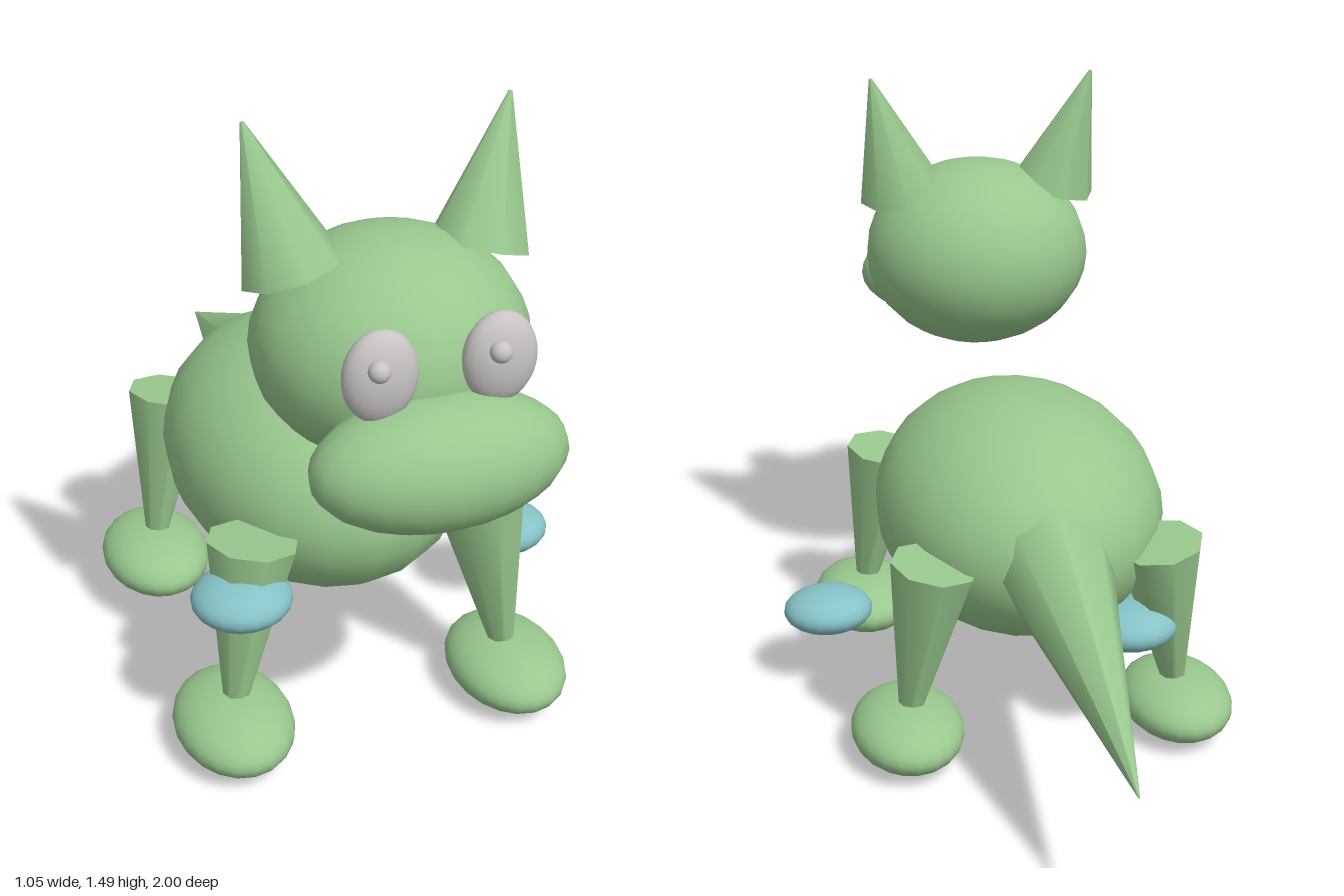
import * as THREE from 'three';

const MID = -0.06; // the animal's plane of symmetry

export function createModel() {
  const model = new THREE.Group();
  model.name = 'animal';

  const material = (name, color) => {
    const m = new THREE.MeshStandardMaterial({ color });
    m.name = name;
    return m;
  };
  const green = material('green skin', 0x99c88e);
  const grey = material('pale grey eye', 0xc8c4c4);
  const blue = material('blue pebble', 0x86c2c6);

  const sphere = new THREE.SphereGeometry(1, 20, 16);

  // Stretched ball: centre and radii
  function ball(name, mat, centre, radii) {
    const mesh = new THREE.Mesh(sphere, mat);
    mesh.name = name;
    mesh.position.set(...centre);
    mesh.scale.set(...radii);
    model.add(mesh);
  }

  // Eight-sided cone running from point a (radius ra) to point b (radius rb)
  function cone(name, mat, a, ra, b, rb) {
    const from = new THREE.Vector3(...a);
    const axis = new THREE.Vector3(...b).sub(from);
    const mesh = new THREE.Mesh(new THREE.CylinderGeometry(rb, ra, axis.length(), 8), mat);
    mesh.name = name;
    mesh.position.copy(from).addScaledVector(axis, 0.5);
    mesh.quaternion.setFromUnitVectors(new THREE.Vector3(0, 1, 0), axis.normalize());
    model.add(mesh);
  }

  // Body, head, muzzle and tail
  ball('body', green, [MID, 0.51, 0.08], [0.35, 0.29, 0.46]);
  ball('head', green, [MID, 1.02, 0.57], [0.29, 0.24, 0.28]);
  ball('muzzle', green, [MID, 0.893, 0.85], [0.267, 0.138, 0.148]);
  cone('tail', green, [MID, 0.52, -0.29], 0.14, [MID, 0.345, -1], 0.002);

  for (const [side, s] of [['left', 1], ['right', -1]]) {
    // Ears
    cone(side + 'Ear', green, [MID + s * 0.2, 1.193, 0.55], 0.108, [MID + s * 0.28, 1.492, 0.493], 0.004);

    // Eyes; both pupils look to the model's right
    ball(side + 'Eye', grey, [MID + s * 0.122, 1.09, 0.837], [0.077, 0.097, 0.043]);
    ball(side + 'Pupil', grey, [MID + s * 0.122 - 0.017, 1.123, 0.879], [0.022, 0.022, 0.022]);

    // Legs and feet
    for (const [end, z] of [['Front', 0.504], ['Back', -0.211]]) {
      const x = MID + s * 0.333;
      cone(side + end + 'Leg', green, [x, 0.08, z], 0.018, [MID + s * 0.268, 0.522, z - 0.038], 0.104);
      ball(side + end + 'Foot', green, [x, 0.08, z], [0.134, 0.075, 0.182]);
    }
  }

  // Loose pebbles around the body
  ball('frontPebble', blue, [-0.371, 0.42, 0.52], [0.112, 0.055, 0.11]);
  ball('sidePebble', blue, [0.41, 0.218, 0.17], [0.112, 0.055, 0.1]);
  ball('rearPebble', blue, [-0.26, 0.32, -0.255], [0.112, 0.055, 0.103]);

  return model;
}
